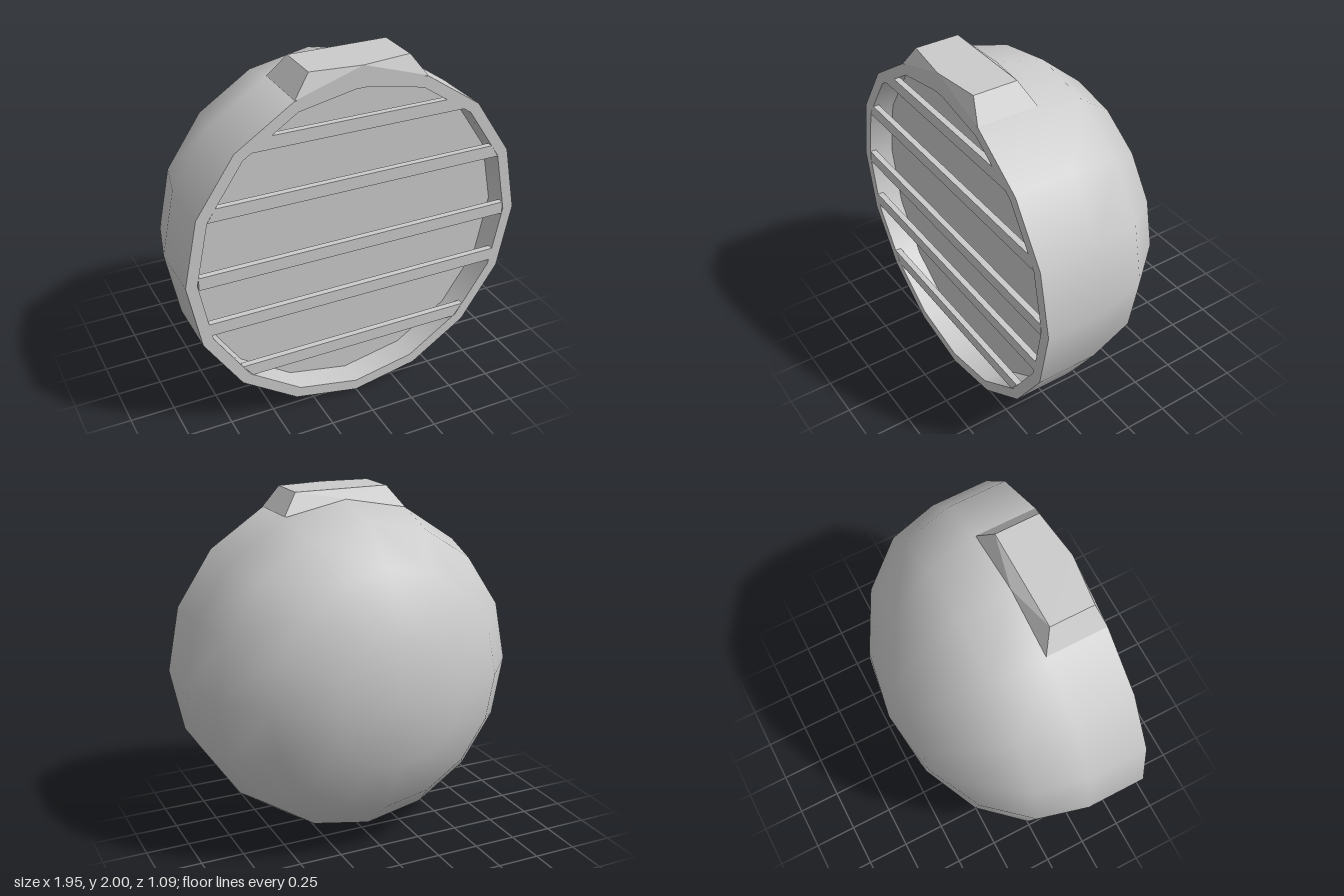
import * as THREE from 'three';
import { ConvexGeometry } from 'three/addons/geometries/ConvexGeometry.js';

const SIDES = 16, R = 0.975, INNER = 0.912, CY = 0.975;
const FRONT = 0.545, BACK = 0.2, PLATE = 0.4, DOME = 0.745;

const polygon = (r) => Array.from({ length: SIDES }, (_, i) => {
  const a = (i / SIDES) * Math.PI * 2;
  return new THREE.Vector2(r * Math.cos(a), r * Math.sin(a));
});

// half width of the inner opening at height y above its centre
function halfWidth(y) {
  const step = (Math.PI * 2) / SIDES;
  const mid = (Math.floor(Math.asin(Math.abs(y) / INNER) / step) + 0.5) * step;
  return (INNER * Math.cos(step / 2) - Math.abs(y) * Math.sin(mid)) / Math.cos(mid);
}

export function createModel() {
  const group = new THREE.Group();
  const solid = new THREE.MeshStandardMaterial({ color: 0xcccccc });
  const thin = new THREE.MeshStandardMaterial({ color: 0xcccccc, side: THREE.DoubleSide });
  const add = (name, geometry, y = CY, z = 0, material = solid) => {
    const mesh = new THREE.Mesh(geometry, material);
    mesh.name = name;
    mesh.position.set(0, y, z);
    group.add(mesh);
  };
  const wall = (r, depth) =>
    new THREE.CylinderGeometry(r, r, depth, SIDES, 1, true).rotateX(Math.PI / 2);

  // Flattened dome at the back
  const dome = new THREE.SphereGeometry(R, SIDES, 4, 0, Math.PI * 2, Math.PI / 2, Math.PI / 2);
  dome.scale(1, DOME / R, 1).rotateX(Math.PI / 2);
  add('dome', dome, CY, BACK);

  // Rim: outer band, front ring and inner wall
  add('outerBand', wall(R, FRONT - BACK), CY, (FRONT + BACK) / 2);
  const ring = new THREE.Shape(polygon(R));
  ring.holes.push(new THREE.Path(polygon(INNER)));
  add('frontRing', new THREE.ShapeGeometry(ring), CY, FRONT);
  add('innerWall', wall(INNER, FRONT - PLATE), CY, (FRONT + PLATE) / 2, thin);

  // Recessed plate behind the bars
  add('recessedPlate', new THREE.ShapeGeometry(new THREE.Shape(polygon(INNER))), CY, PLATE);

  // Horizontal bars, their ends following the opening
  for (const bottom of [0.32, 0.65, 0.945, 1.32, 1.65]) {
    const low = bottom - CY, high = low + 0.072;
    const a = halfWidth(low), b = halfWidth(high);
    const bar = new THREE.Shape([[-a, low], [a, low], [b, high], [-b, high]]
      .map(([x, y]) => new THREE.Vector2(x, y)));
    add('bar', new THREE.ExtrudeGeometry(bar, { depth: 0.035, bevelEnabled: false }), CY, FRONT - 0.035);
  }

  // Chamfered block on top of the rim
  const points = [new THREE.Vector3(0, 2, FRONT), new THREE.Vector3(0, 1.95, BACK)];
  for (const s of [-1, 1]) {
    points.push(
      new THREE.Vector3(s * 0.37, 1.88, FRONT), new THREE.Vector3(s * 0.37, 1.88, BACK),
      new THREE.Vector3(s * 0.28, 2, 0.51), new THREE.Vector3(s * 0.28, 2, 0.26));
  }
  add('topBlock', new ConvexGeometry(points), 0);

  return group;
}
